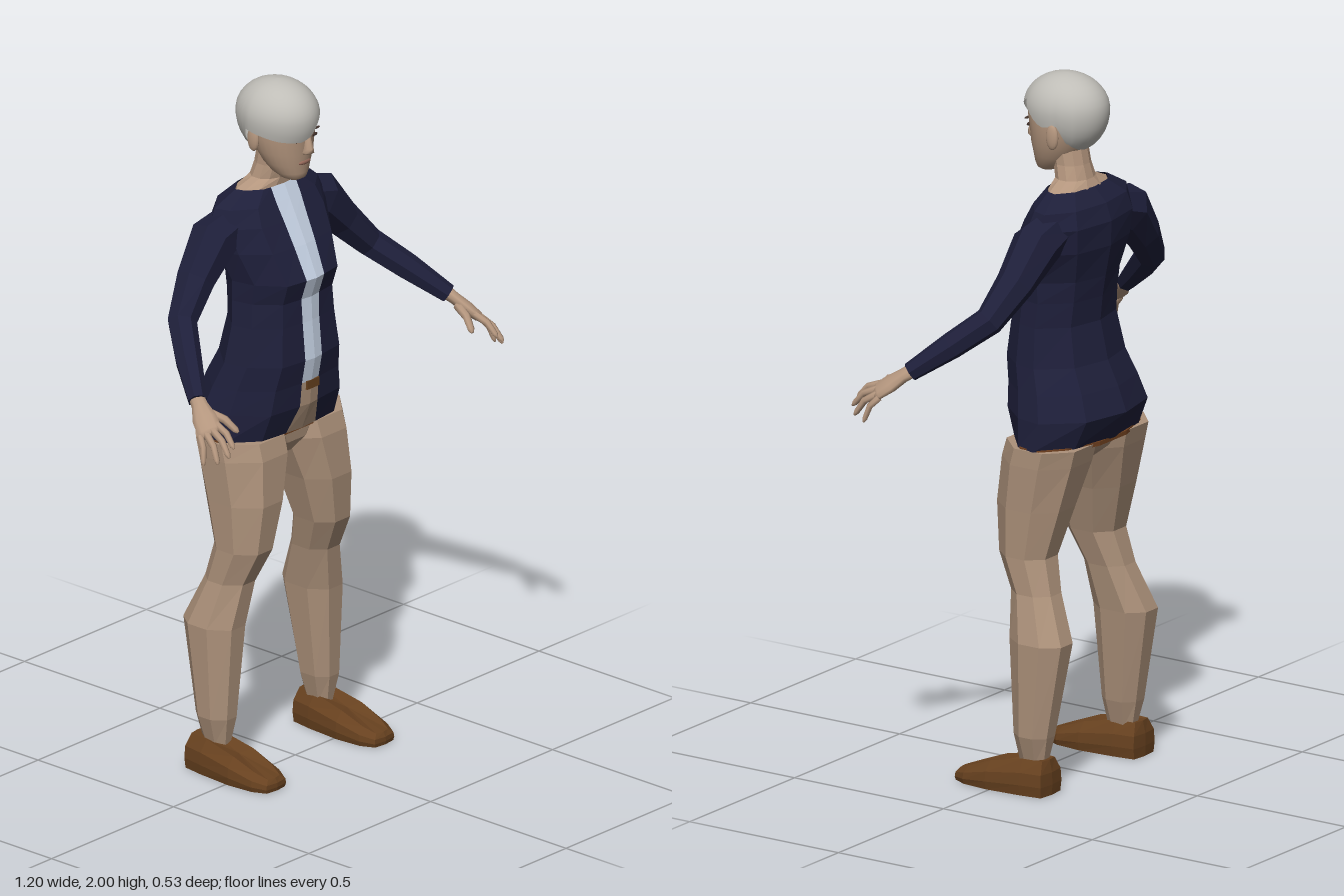
import * as THREE from 'three';

const mat = (name, color, side = THREE.FrontSide) => {
  const m = new THREE.MeshStandardMaterial({ color, side });
  m.name = name;
  return m;
};

// Skin a list of rings, each running counter-clockwise about the direction of travel.
function loft(rings, { closed = true, cap = true, smooth = false } = {}) {
  const n = rings[0].length, pos = rings.flat(2), idx = [];
  const cols = closed ? n : n - 1;
  for (let i = 0; i < rings.length - 1; i++) {
    for (let j = 0; j < cols; j++) {
      const a = i * n + j, b = i * n + (j + 1) % n;
      idx.push(a, b, b + n, a, b + n, a + n);
    }
  }
  if (closed && cap) {
    [0, rings.length - 1].forEach((r, end) => {
      const c = pos.length / 3;
      for (let k = 0; k < 3; k++) pos.push(rings[r].reduce((s, p) => s + p[k], 0) / n);
      for (let j = 0; j < n; j++) {
        const a = r * n + j, b = r * n + (j + 1) % n;
        if (end) idx.push(a, b, c); else idx.push(b, a, c);
      }
    });
  }
  let g = new THREE.BufferGeometry();
  g.setAttribute('position', new THREE.Float32BufferAttribute(pos, 3));
  g.setIndex(idx);
  if (!smooth) g = g.toNonIndexed();
  g.computeVertexNormals();
  return g;
}

// Horizontal oval ring.
const oval = (y, cx, rx, zf, zb, n) => Array.from({ length: n }, (_, i) => {
  const a = (i + 0.5) / n * Math.PI * 2;
  return [cx + rx * Math.sin(a), y, (zf + zb) / 2 + (zf - zb) / 2 * Math.cos(a)];
});

// Limb along points [x, y, z, radius along hint, radius across].
function limb(pts, hint, n, smooth) {
  const P = pts.map(p => new THREE.Vector3(p[0], p[1], p[2]));
  return loft(pts.map((p, i) => {
    const t = P[Math.min(i + 1, P.length - 1)].clone().sub(P[Math.max(i - 1, 0)]).normalize();
    const b = hint.clone().addScaledVector(t, -hint.dot(t)).normalize();
    const c = t.clone().cross(b);
    return Array.from({ length: n }, (_, k) => {
      const a = (k + 0.5) / n * Math.PI * 2;
      return P[i].clone().addScaledVector(b, Math.cos(a) * p[3])
        .addScaledVector(c, Math.sin(a) * p[4]).toArray();
    });
  }), { smooth });
}

export function createModel() {
  const root = new THREE.Group();
  const navy = mat('navy cloth', 0x1e1f3a, THREE.DoubleSide);
  const white = mat('pale blue shirt', 0xc8d4e6, THREE.DoubleSide);
  const tan = mat('tan trousers', 0xac917a, THREE.DoubleSide);
  const skin = mat('skin', 0xb4967e);
  const silver = mat('silver hair', 0xbfbdb7, THREE.DoubleSide);
  const brown = mat('brown leather', 0x67411f);
  const rust = mat('rust hem', 0x70401f);
  const dark = mat('dark eyes', 0x40302a);
  const lip = mat('lips', 0x96695a);
  const add = (name, geo, m, parent = root) => {
    const mesh = new THREE.Mesh(geo, m);
    mesh.name = name;
    parent.add(mesh);
    return mesh;
  };

  // Torso sections: height, half width, front z, back z, half width of the jacket opening
  const torso = [
    [0.98, 0.245, 0.02, -0.22, 0.06], [1.06, 0.235, 0.05, -0.262, 0.036],
    [1.13, 0.215, 0.055, -0.235, 0.034], [1.2, 0.195, 0.068, -0.2, 0.034],
    [1.31, 0.175, 0.058, -0.175, 0.034], [1.38, 0.168, 0.055, -0.182, 0.036],
    [1.44, 0.17, 0.075, -0.192, 0.036], [1.53, 0.2, 0.035, -0.21, 0.042],
    [1.6, 0.212, 0, -0.212, 0.046], [1.65, 0.195, -0.025, -0.195, 0.05],
    [1.69, 0.125, -0.045, -0.155, 0.05],
  ];
  add('jacket', loft(torso.map(([y, w, f, b, g]) => {
    const d = f - b;
    const half = [[g, f], [0.6 * w, f - 0.04 * d], [0.92 * w, f - 0.32 * d],
      [w, f - 0.58 * d], [0.62 * w, b + 0.1 * d]];
    return [...half.map(([x, z]) => [x, y, z]), [0, y, b],
      ...half.reverse().map(([x, z]) => [-x, y, z])];
  }), { closed: false }), navy);
  const strip = rows => loft(rows.map(([y, , f, , g]) =>
    [[-g, y, f], [0, y, f + 0.005], [g, y, f]]), { closed: false });
  add('shirt front', strip(torso.slice(2)), white);
  add('trouser front', strip(torso.slice(0, 3)), tan);
  add('belt buckle', new THREE.BoxGeometry(0.05, 0.025, 0.012), brown).position.set(0.006, 1.12, 0.056);

  // Pelvis and hem
  add('pelvis', loft([
    oval(0.9, 0, 0.03, -0.02, -0.13, 10), oval(0.94, 0, 0.11, 0.01, -0.18, 10),
    oval(0.985, 0, 0.2, 0.015, -0.21, 10), oval(1.1, 0, 0.18, 0.03, -0.2, 10),
  ]), tan);
  add('hem', loft([
    oval(0.972, 0, 0.245, 0.018, -0.222, 12), oval(0.984, 0, 0.245, 0.018, -0.222, 12),
  ]), rust);

  // Leg sections: height, inner x, outer x, front z, back z
  const legRows = [
    [0.08, 0.185, 0.235, -0.06, -0.14], [0.16, 0.165, 0.258, -0.045, -0.158],
    [0.43, 0.135, 0.268, -0.03, -0.205], [0.56, 0.115, 0.235, -0.015, -0.15],
    [0.66, 0.09, 0.232, 0.032, -0.125], [0.8, 0.05, 0.237, 0.045, -0.165],
    [0.93, 0.004, 0.243, 0.035, -0.2], [0.98, 0, 0.243, 0.02, -0.212],
  ];
  const legShape = [[-0.45, 1], [0.4, 1], [1, 0.35], [1, -0.45], [0.45, -1], [-0.4, -1], [-1, -0.5], [-1, 0.45]];
  const shoeHalf = [[0.04, 0.13], [0.06, 0.09], [0.068, 0.01], [0.06, -0.1], [0.05, -0.165]];

  for (const s of [1, -1]) {
    const side = s > 0 ? 'left' : 'right';
    const orient = ring => (s > 0 ? ring : ring.map(([x, y, z]) => [-x, y, z]).reverse());

    add(side + 'TrouserLeg', loft(legRows.map(([y, a, b, f, k]) => orient(legShape.map(([u, v]) =>
      [(a + b) / 2 + u * (b - a) / 2, y, (f + k) / 2 + v * (f - k) / 2])))), tan);

    // Shoe: rounded outline rising from toe to heel
    const outline = [[0, 0.135], ...shoeHalf, [0, -0.17],
      ...[...shoeHalf].reverse().map(([x, z]) => [-x, z])];
    const rise = z => THREE.MathUtils.clamp(0.1 - (z + 0.05) * 0.36, 0.035, 0.1);
    add(side + 'Shoe', loft([[0, 0, 0.93], [0.3, 0, 1], [0.65, 0, 0.95], [1, 0, 0.6]].map(([h, , k]) =>
      orient(outline.map(([x, z]) => [0.222 + x * k, h * rise(z), -0.02 + (z + 0.02) * (0.85 + 0.15 * k)])))), brown);

    // Sleeve
    add(side + 'Sleeve', limb([
      [0.13 * s, 1.59, -0.11, 0.06, 0.06], [0.215 * s, 1.565, -0.11, 0.068, 0.073],
      [0.3 * s, 1.475, -0.1, 0.055, 0.054], [0.385 * s, 1.385, -0.072, 0.042, 0.042],
      [0.45 * s, 1.315, 0.01, 0.038, 0.038], [0.515 * s, 1.24, 0.102, 0.027, 0.027],
    ], new THREE.Vector3(0, 0, 1), 7), navy);

    // Hand with palm, four fingers and thumb
    const hand = new THREE.Group();
    hand.name = side + 'Hand';
    root.add(hand);
    const across = new THREE.Vector3(0.045 * s, -0.025, -0.025);
    add('palm', limb([
      [0.508 * s, 1.25, 0.09, 0.022, 0.02], [0.522 * s, 1.23, 0.118, 0.024, 0.017],
      [0.538 * s, 1.205, 0.15, 0.036, 0.018], [0.552 * s, 1.183, 0.18, 0.036, 0.014],
      [0.556 * s, 1.177, 0.19, 0.03, 0.008],
    ], across, 10, true), skin, hand);
    const fingers = [
      ['indexFinger', [0.53, 1.197, 0.185], [0.54, 1.148, 0.26], 0.01],
      ['middleFinger', [0.548, 1.187, 0.185], [0.562, 1.128, 0.262], 0.01],
      ['ringFinger', [0.563, 1.176, 0.178], [0.584, 1.11, 0.24], 0.01],
      ['littleFinger', [0.574, 1.17, 0.165], [0.598, 1.1, 0.2], 0.009],
      ['thumb', [0.512, 1.215, 0.14], [0.48, 1.168, 0.222], 0.012],
    ];
    for (const [name, a, b, r] of fingers) {
      // Slight arch at the middle joint
      const rows = [[0, 0, 1.1], [0.5, 0.01, 1], [0.9, 0.002, 0.8], [1, 0, 0.35]].map(([t, lift, k]) =>
        [(a[0] + (b[0] - a[0]) * t) * s, a[1] + (b[1] - a[1]) * t + lift, a[2] + (b[2] - a[2]) * t + lift * 0.5, r * k, r * k]);
      add(name, limb(rows, across, 7, true), skin, hand);
    }
  }

  // Neck and collar area
  add('neck', loft([
    oval(1.665, 0, 0.13, -0.04, -0.16, 12), oval(1.688, 0, 0.118, -0.042, -0.155, 12),
    oval(1.71, 0, 0.064, -0.04, -0.142, 12), oval(1.75, 0, 0.056, -0.03, -0.13, 12),
    oval(1.8, 0, 0.056, -0.02, -0.12, 12),
  ]), skin);

  // Head
  const head = new THREE.Group();
  head.name = 'head';
  root.add(head);
  add('face', loft([
    [1.717, 0.022, 0.018, -0.02], [1.724, 0.036, 0.029, -0.045], [1.74, 0.05, 0.034, -0.075],
    [1.765, 0.064, 0.036, -0.1], [1.8, 0.077, 0.042, -0.125], [1.84, 0.085, 0.045, -0.145],
    [1.88, 0.087, 0.052, -0.155], [1.92, 0.083, 0.05, -0.15], [1.96, 0.06, 0.02, -0.12],
  ].map(([y, r, f, b]) => oval(y, 0, r, f, b, 28)), { smooth: true }), skin, head);
  add('nose', loft([
    oval(1.798, 0, 0.012, 0.05, 0.03, 8), oval(1.806, 0, 0.017, 0.066, 0.03, 8),
    oval(1.818, 0, 0.012, 0.066, 0.03, 8), oval(1.858, 0, 0.008, 0.052, 0.03, 8),
  ], { smooth: true }), skin, head);
  const blob = (name, x, y, z, a, b, c, m) => {
    add(name, new THREE.SphereGeometry(1, 14, 10).scale(a, b, c), m, head).position.set(x, y, z);
  };
  blob('mouth', 0, 1.773, 0.035, 0.024, 0.007, 0.006, lip);
  for (const s of [1, -1]) {
    blob('eye', 0.034 * s, 1.845, 0.038, 0.014, 0.005, 0.005, dark);
    blob('eyebrow', 0.036 * s, 1.864, 0.041, 0.019, 0.003, 0.005, dark);
    blob('ear', 0.089 * s, 1.838, -0.075, 0.01, 0.036, 0.02, skin);
  }

  // Hair: a cap whose lower edge follows [azimuth in degrees, height], with a swept fringe
  const edge = [[-180, 1.785], [-125, 1.79], [-105, 1.87], [-75, 1.86], [-50, 1.85], [-15, 1.845],
    [0, 1.855], [20, 1.895], [45, 1.925], [65, 1.88], [80, 1.86], [105, 1.87], [125, 1.79], [180, 1.785]];
  const edgeY = deg => {
    const i = Math.max(1, edge.findIndex(e => e[0] >= deg));
    const [a, b] = [edge[i - 1], edge[i]];
    return THREE.MathUtils.lerp(a[1], b[1], (deg - a[0]) / (b[0] - a[0]));
  };
  const rows = 14, cols = 48, cap = [];
  for (let i = 0; i <= rows; i++) {
    cap.push(Array.from({ length: cols }, (_, j) => {
      const deg = -180 + 360 * j / cols, a = deg * Math.PI / 180, y = edgeY(deg) - 1.9;
      const t = Math.acos(y / (y > 0 ? 0.1 : 0.13)) * (1 - i / rows);
      const c = Math.cos(t), r = Math.sin(t);
      return [-0.009 + 0.104 * r * Math.sin(a), 1.9 + c * (c > 0 ? 0.1 : 0.13), -0.056 + 0.126 * r * Math.cos(a)];
    }));
  }
  add('hair', loft(cap, { cap: false, smooth: true }), silver, head);

  return root;
}
